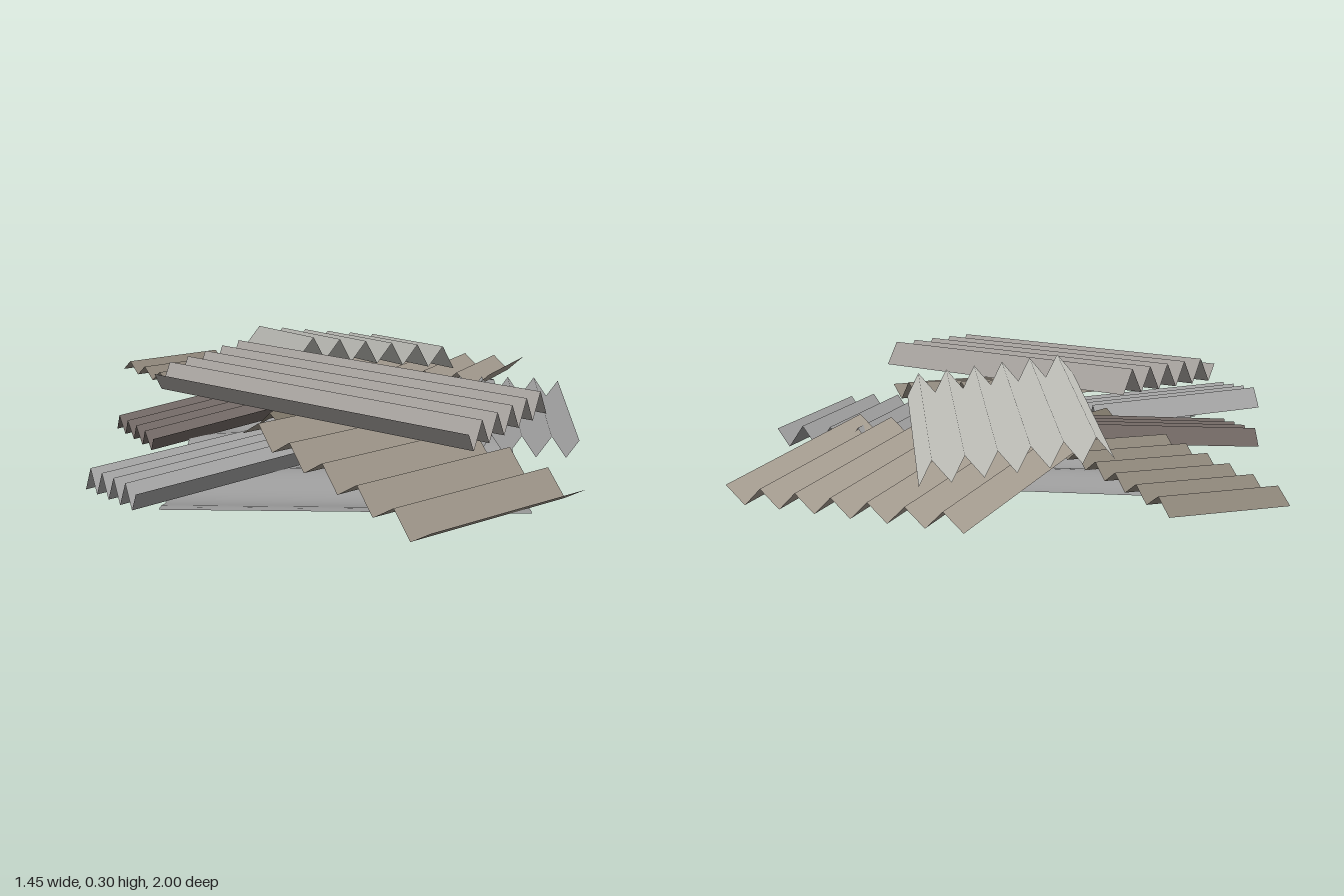
import * as THREE from 'three';

// Wave profiles from -1 to 1, both starting low: sharp folds and a soft roll
const fold = (t) => 1 - 4 * Math.abs((t % 1) - 0.5);
const roll = (t) => -Math.cos(t * Math.PI * 2);

// Corrugated sheet: a is a corner, b lies along the ridges from it,
// c lies across the ridges. Heights are those of the sheet's middle plane.
// A fractional wave count cuts the far edge part way up a fold.
function sheet(name, color, a, b, c, waves, amp, wave = fold, stepsPerWave = 2) {
  const A = new THREE.Vector3(...a);
  const along = new THREE.Vector3(...b).sub(A);
  const across = new THREE.Vector3(...c).sub(A);
  const normal = new THREE.Vector3().crossVectors(across, along).normalize();
  const flip = normal.y < 0;
  if (flip) normal.negate();

  const steps = Math.ceil(waves * stepsPerWave);
  const geo = new THREE.PlaneGeometry(1, 1, steps, 1);
  const pos = geo.attributes.position;
  const p = new THREE.Vector3();
  for (let i = 0; i < pos.count; i++) {
    const s = pos.getX(i) + 0.5;
    const u = pos.getY(i) + 0.5;
    const step = Math.round((flip ? 1 - s : s) * steps); // keeps the front of each face upward
    const t = Math.min(step / stepsPerWave, waves);
    p.copy(A).addScaledVector(along, u).addScaledVector(across, t / waves)
      .addScaledVector(normal, wave(t) * amp);
    pos.setXYZ(i, p.x, p.y, p.z);
    geo.attributes.normal.setXYZ(i, normal.x, normal.y, normal.z); // folds are shaded evenly
  }
  if (wave === roll) geo.computeVertexNormals();
  const mesh = new THREE.Mesh(geo, new THREE.MeshStandardMaterial({ color, side: THREE.DoubleSide }));
  mesh.name = name;
  return mesh;
}

export function createModel() {
  const pile = new THREE.Group();
  pile.name = 'corrugatedSheetPile';
  pile.add(
    // Large softly rolled sheet at the bottom
    sheet('baseSheet', 0x9c9c9c, [-0.39, 0.044, -0.635], [0.53, 0.044, -0.665], [-0.36, 0.044, 0.77], 4.5, 0.014, roll, 12),
    // Lower ring of folded sheets
    sheet('backLeftSheet', 0x8f877b, [-0.73, 0.05, -0.69], [-0.46, 0.05, -0.87], [-0.33, 0.09, -0.12], 6, 0.018),
    sheet('leftSheet', 0x736a66, [-0.61, 0.065, 0.04], [-0.1, 0.12, -0.31], [-0.46, 0.065, 0.26], 4.4, 0.025),
    sheet('frontLeftSheet', 0xa5a5a5, [-0.57, 0.093, 0.64], [-0.11, 0.09, 0.18], [-0.41, 0.093, 0.8], 4.36, 0.032),
    sheet('rightSheet', 0x9a9a9a, [0.36, 0.09, 0.3], [0.36, 0.09, -0.33], [0.72, 0.09, 0.3], 4.42, 0.03),
    sheet('middleSheet', 0x7d7568, [0.33, 0.1, -0.22], [0.17, 0.1, 0.24], [-0.03, 0.1, -0.34], 4, 0.025),
    // Sheets leaning on the lower ring
    sheet('backSheet', 0xa59c90, [0.0, 0.026, -1.0], [-0.15, 0.115, -0.41], [0.65, 0.034, -0.84], 6.5, 0.024),
    sheet('frontSheet', 0x989084, [-0.19, 0.175, 0.41], [0.2, 0.175, 0.08], [0.305, 0.077, 1.0], 5.45, 0.028),
    // Top sheets
    sheet('upperBackSheet', 0xb9b9b3, [-0.3, 0.16, -0.69], [-0.07, 0.28, -0.03], [0.16, 0.1, -0.83], 6, 0.032),
    sheet('topSheet', 0xa8a39f, [-0.24, 0.243, -0.15], [0.62, 0.243, 0.375], [-0.46, 0.243, 0.215], 5.35, 0.035),
  );
  return pile;
}
